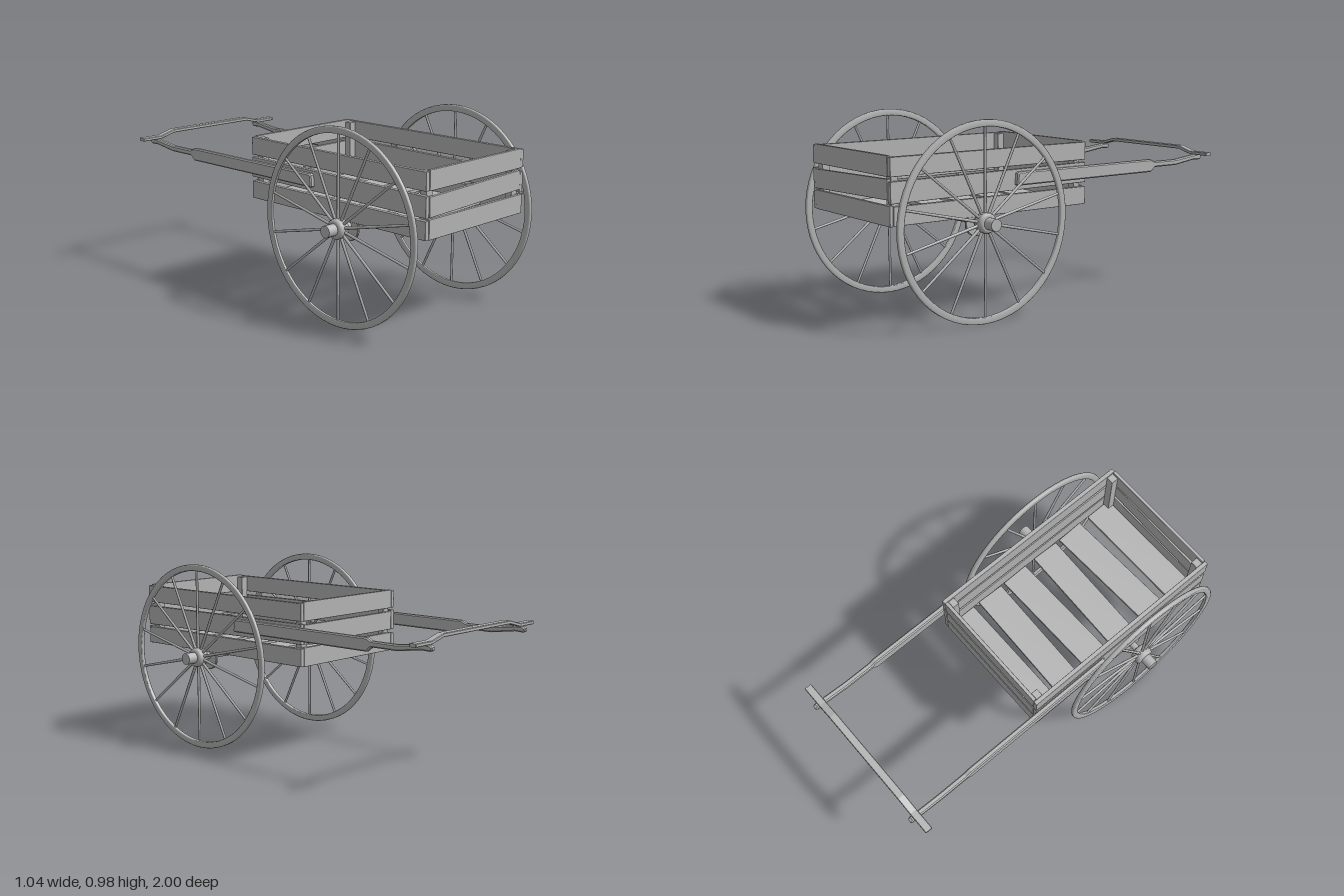
import * as THREE from 'three';
import { RoundedBoxGeometry } from 'three/addons/geometries/RoundedBoxGeometry.js';

const wood = new THREE.MeshStandardMaterial({ color: 0xb4b4b4 });
wood.name = 'plain grey';

const AXLE_Y = 0.497, AXLE_Z = 0.51;

function add(parent, name, geometry, x = 0, y = 0, z = 0) {
  const mesh = new THREE.Mesh(geometry, wood);
  mesh.name = name;
  mesh.position.set(x, y, z);
  parent.add(mesh);
  return mesh;
}

// Board with slightly softened edges, given by its min and max corners
function board(parent, name, [x0, x1], [y0, y1], [z0, z1]) {
  const geo = new RoundedBoxGeometry(x1 - x0, y1 - y0, z1 - z0, 1, 0.003);
  return add(parent, name, geo, (x0 + x1) / 2, (y0 + y1) / 2, (z0 + z1) / 2);
}

// Side outline extruded with a small bevel, centred on its thickness
function cutout(points, thickness, bevel) {
  const shape = new THREE.Shape(points.map(p => new THREE.Vector2(...p)));
  const geo = new THREE.ExtrudeGeometry(shape, {
    depth: thickness - 2 * bevel, bevelEnabled: true, bevelThickness: bevel,
    bevelSize: bevel, bevelOffset: -bevel, bevelSegments: 1,
  });
  return geo.translate(0, 0, -(thickness - 2 * bevel) / 2);
}

// Lathe around the x axis; points are [radius, x]
function turned(points, segments) {
  const geo = new THREE.LatheGeometry(points.map(p => new THREE.Vector2(...p)), segments);
  return geo.rotateZ(-Math.PI / 2);
}

function createWheel() {
  const wheel = new THREE.Group();
  wheel.name = 'wheel';
  // Rim with chamfered edges
  add(wheel, 'rim', turned([
    [0.457, -0.007], [0.461, -0.011], [0.486, -0.011], [0.491, -0.006],
    [0.491, 0.006], [0.486, 0.011], [0.461, 0.011], [0.457, 0.007], [0.457, -0.007],
  ], 64));
  // Rounded hub
  add(wheel, 'hub', turned([
    [0, -0.033], [0.036, -0.033], [0.046, -0.028], [0.05, -0.018],
    [0.05, 0.018], [0.046, 0.028], [0.036, 0.033], [0, 0.033],
  ], 20));
  // Fourteen spokes
  for (let i = 0; i < 14; i++) {
    const a = i / 14 * Math.PI * 2;
    const spoke = add(wheel, 'spoke', new THREE.CylinderGeometry(0.0065, 0.008, 0.43, 8),
      0, Math.cos(a) * 0.247, Math.sin(a) * 0.247);
    spoke.rotation.x = a;
  }
  return wheel;
}

function createBox() {
  const box = new THREE.Group();
  box.name = 'cargoBox';
  // Long side boards
  const rows = [[0.517, 0.608], [0.625, 0.728], [0.745, 0.836]];
  for (const s of [-1, 1]) {
    const span = s < 0 ? [-0.365, -0.342] : [0.342, 0.365];
    rows.forEach((row, i) => {
      const b = board(box, 'sideBoard', span, row, [-0.173, i === 0 && s > 0 ? 0.974 : 0.99]);
      if (i === 1) b.rotation.x = 0.008;
    });
    // Corner posts
    for (const z of [[-0.153, -0.115], [0.933, 0.973]])
      board(box, 'cornerPost', s < 0 ? [-0.342, -0.3] : [0.3, 0.342], [0.53, 0.832], z);
  }
  // Front and back boards; the middle front one hangs crooked
  for (const [end, z] of [['front', [0.974, 0.992]], ['back', [-0.173, -0.154]]]) {
    board(box, end + 'Board', [-0.341, end === 'front' ? 0.361 : 0.341], [0.515, 0.612], z);
    const middle = board(box, end + 'Board', [-0.341, 0.341], [0.628, 0.726], z);
    if (end === 'front') middle.rotation.z = 0.026;
    board(box, end + 'Board', [-0.341, 0.341], [0.744, 0.842], z);
  }
  // Loose floor planks: [centre z, twist]
  for (const [z, twist] of [[-0.077, 0], [0.104, -0.026], [0.294, 0.019],
    [0.493, -0.029], [0.694, 0.04], [0.894, 0.008]]) {
    const plank = board(box, 'floorPlank', [-0.342, 0.337], [0.522, 0.54], [z - 0.077, z + 0.077]);
    plank.rotation.y = twist;
  }
  return box;
}

export function createModel() {
  const cart = new THREE.Group();
  cart.name = 'handCart';
  cart.add(createBox());

  // Axle with thicker end caps
  const axle = new THREE.CylinderGeometry(0.019, 0.019, 0.86, 16).rotateZ(Math.PI / 2);
  add(cart, 'axle', axle, 0, AXLE_Y, AXLE_Z);

  // Shaft outline as [z, y]: deep beam, shoulder, slim grip rising to the end
  const shaftOutline = [
    [0.285, 0.655], [0.28, 0.71], [0.272, 0.717], [-0.615, 0.717], [-0.645, 0.704], [-0.8, 0.704],
    [-0.95, 0.722], [-0.985, 0.722], [-0.998, 0.712], [-0.998, 0.7], [-0.985, 0.692],
    [-0.94, 0.694], [-0.8, 0.674], [-0.645, 0.674], [-0.615, 0.65], [0.278, 0.65],
  ];
  // Hanger under the box, round at the bottom
  const hangerOutline = [[0.06, 0.525], [-0.06, 0.525]];
  for (let i = 0; i <= 10; i++) {
    const a = Math.PI + i / 10 * Math.PI;
    hangerOutline.push([Math.cos(a) * 0.06, 0.482 + Math.sin(a) * 0.06]);
  }

  for (const s of [-1, 1]) {
    const wheel = createWheel();
    wheel.position.set(s * 0.433, AXLE_Y, AXLE_Z);
    cart.add(wheel);
    const cap = new THREE.CylinderGeometry(0.03, 0.03, 0.07, 16).rotateZ(Math.PI / 2);
    add(cart, 'axleCap', cap, s * 0.487, AXLE_Y, AXLE_Z);
    add(cart, 'axleHanger', cutout(hangerOutline, 0.014, 0.003).rotateY(-Math.PI / 2),
      s * 0.353, 0, AXLE_Z);
    add(cart, 'shaft', cutout(shaftOutline, 0.029, 0.006).rotateY(-Math.PI / 2), s * 0.378);
  }

  // Push bar, raised between the shafts
  const half = [[0.48, 0.738], [0.48, 0.721], [0.36, 0.721], [0.27, 0.744]];
  const barOutline = [
    [-0.48, 0.721], [-0.36, 0.721], [-0.27, 0.744],
    half[3], half[2], half[1], half[0],
    [0.36, 0.738], [0.27, 0.762], [-0.27, 0.762], [-0.36, 0.738], [-0.48, 0.738],
  ];
  add(cart, 'pushBar', cutout(barOutline, 0.04, 0.003), 0, 0, -0.957);
  return cart;
}
